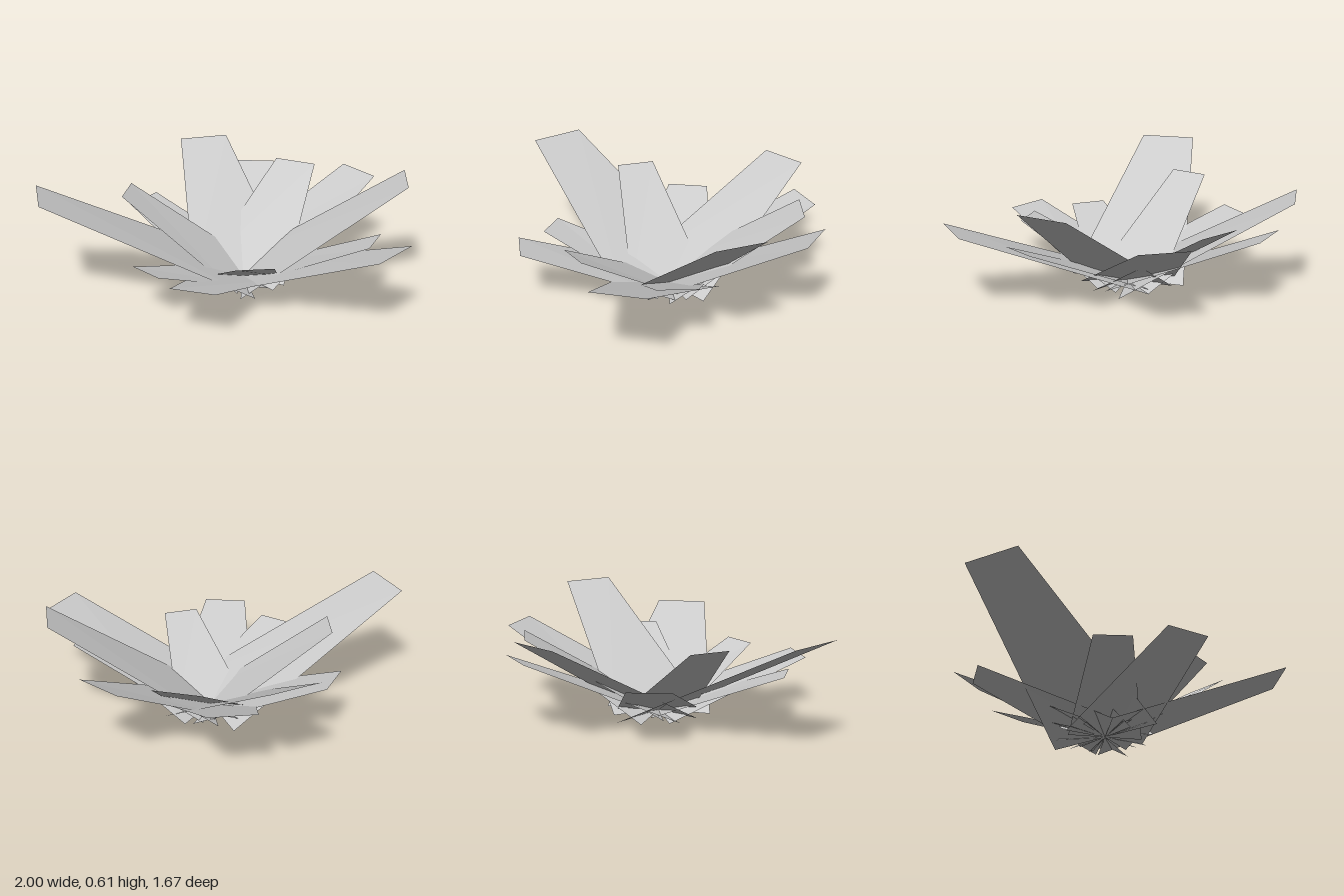
import * as THREE from 'three';

// Tip centre x, tip centre z, tip height, tip width of every petal
const PETALS = [
  [-0.575, -0.715, 0.54, 0.286],
  [-0.28, -0.8, 0.4, 0.253],
  [0.025, -0.735, 0.46, 0.25],
  [0.42, -0.75, 0.455, 0.268],
  [0.83, -0.31, 0.61, 0.28],
  [0.76, -0.005, 0.35, 0.21],
  [0.96, 0.295, 0.43, 0.29],
  [0.295, 0.525, 0.325, 0.197],
  [0.08, 0.82, 0.29, 0.24],
  [-0.263, 0.663, 0.265, 0.2],
  [-0.91, 0.637, 0.58, 0.32],
  [-0.635, 0.165, 0.49, 0.216],
  [-0.705, -0.155, 0.315, 0.236],
];

// Flat tapering blade: its base crosses the centre and is twice as wide as its tip
function petalGeometry(length, height, tipWidth, roll) {
  const g = new THREE.PlaneGeometry(1, 1);
  const p = g.attributes.position;
  for (let i = 0; i < p.count; i++) {
    const side = p.getX(i);
    const t = p.getY(i) + 0.5;
    const y = THREE.MathUtils.lerp(0.01 + roll * side, height, t);
    p.setXYZ(i, side * tipWidth * (2 - t), y, -length * t);
  }
  g.computeVertexNormals();
  return g;
}

export function createModel() {
  const grey = new THREE.MeshStandardMaterial({ color: 0xcccccc, side: THREE.DoubleSide, flatShading: true });
  grey.name = 'pale grey';

  const flower = new THREE.Group();
  flower.name = 'petalRosette';
  PETALS.forEach(([x, z, height, width], i) => {
    const roll = i % 2 ? 0.02 : -0.02;
    const petal = new THREE.Mesh(petalGeometry(Math.hypot(x, z), height, width, roll), grey);
    petal.name = `petal${i + 1}`;
    petal.rotation.y = Math.atan2(-x, -z);
    flower.add(petal);
  });
  return flower;
}
